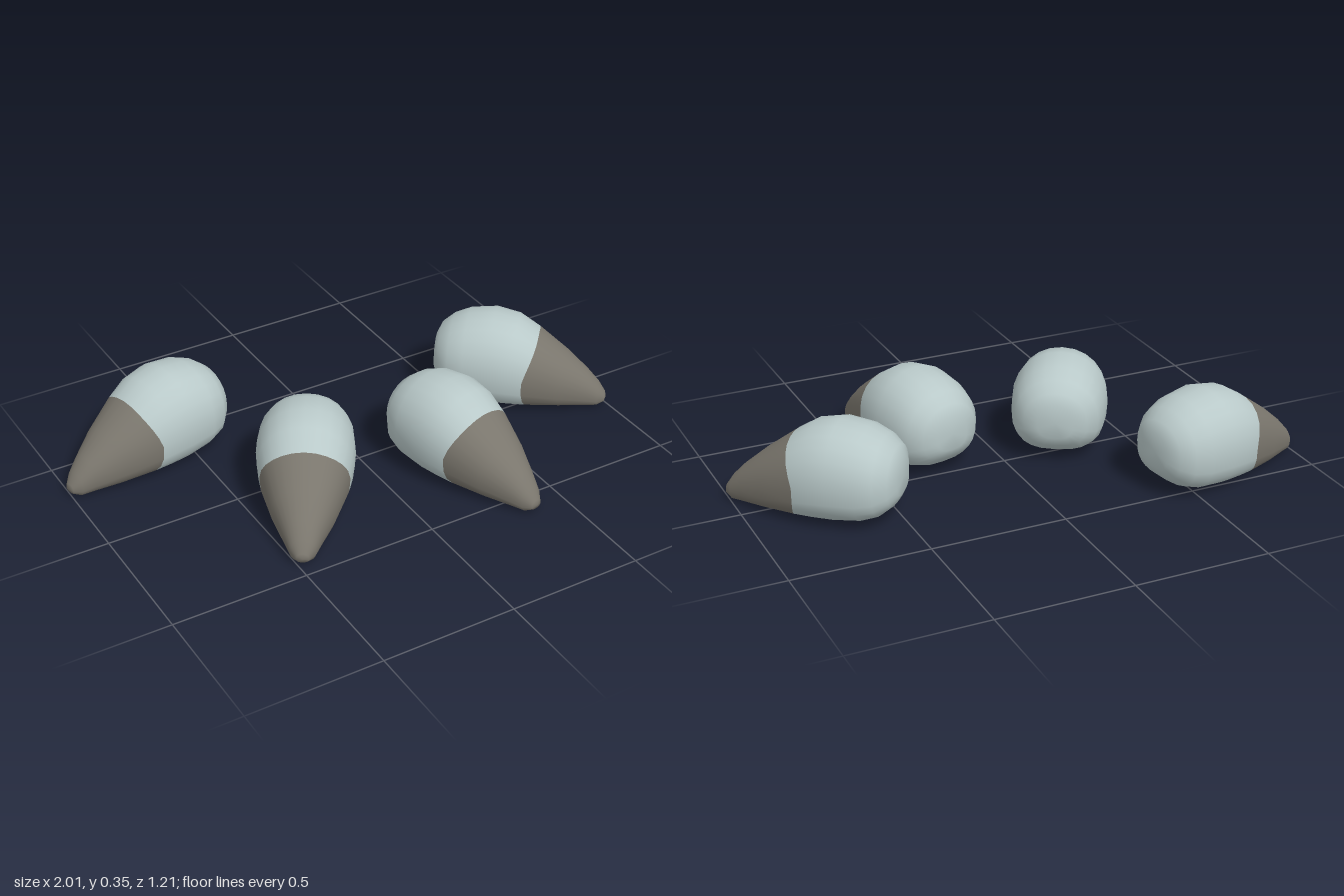
import * as THREE from 'three';

// Cross-sections from heel to tip: distance along, half width, top, bottom
const SECTIONS = [
  [0, 0.065, 0.235, 0.105], [0.018, 0.115, 0.275, 0.07], [0.06, 0.152, 0.31, 0.035],
  [0.12, 0.17, 0.338, 0.014], [0.22, 0.177, 0.353, 0.004], [0.31, 0.168, 0.335, 0.001],
  [0.39, 0.147, 0.285, 0], [0.5, 0.105, 0.205, 0], [0.58, 0.066, 0.137, 0],
  [0.625, 0.045, 0.09, 0], [0.652, 0.022, 0.05, 0.015],
];
const TIP_START = 6; // section where the dark tip begins
const SIDES = 24;

// Blend a section measurement at distance s
function profile(s, k) {
  let i = 0;
  while (i < SECTIONS.length - 2 && s > SECTIONS[i + 1][0]) i++;
  const a = SECTIONS[i], b = SECTIONS[i + 1];
  return THREE.MathUtils.lerp(a[k], b[k], (s - a[0]) / (b[0] - a[0]));
}

function clawGeometry() {
  const positions = [], light = [], dark = [];
  SECTIONS.forEach(([s0], i) => {
    for (let j = 0; j < SIDES; j++) {
      const t = (j / SIDES) * Math.PI * 2, c = Math.cos(t), n = Math.sin(t);
      // the colour edge sweeps back along the lower flanks
      const sweep = Math.max(0, 1 - Math.abs(i - TIP_START) / 2) * 0.045;
      const s = s0 - sweep * Math.abs(c) * (n < 0 ? 1 : 1 - n);
      const w = profile(s, 1), top = profile(s, 2), bottom = profile(s, 3);
      const mid = bottom + (top - bottom) * 0.46;
      const p = n < 0 ? 2 / 2.7 : 2 / 2.1; // fuller, flatter underside
      const x = w * Math.sign(c) * Math.abs(c) ** p;
      const y = mid + (n < 0 ? mid - bottom : top - mid) * Math.sign(n) * Math.abs(n) ** p;
      positions.push(x, y, s);
    }
  });
  const last = SECTIONS.length - 1;
  const heel = positions.length / 3, tip = heel + 1;
  positions.push(0, 0.17, -0.004, 0, 0.032, 0.657);
  for (let j = 0; j < SIDES; j++) {
    const k = (j + 1) % SIDES;
    light.push(heel, k, j);
    for (let i = 0; i < last; i++) {
      const a = i * SIDES + j, b = i * SIDES + k, c = b + SIDES, d = a + SIDES;
      (i < TIP_START ? light : dark).push(a, b, c, a, c, d);
    }
    dark.push(tip, last * SIDES + j, last * SIDES + k);
  }
  const geometry = new THREE.BufferGeometry();
  geometry.setAttribute('position', new THREE.Float32BufferAttribute(positions, 3));
  geometry.setIndex([...light, ...dark]);
  geometry.addGroup(0, light.length, 0);
  geometry.addGroup(light.length, dark.length, 1);
  geometry.computeVertexNormals();
  return geometry;
}

export function createModel() {
  const group = new THREE.Group();
  group.name = 'claws';
  const paleGrey = new THREE.MeshStandardMaterial({ color: 0xb9c9c9 });
  paleGrey.name = 'pale blue grey';
  const darkGrey = new THREE.MeshStandardMaterial({ color: 0x7a766d });
  darkGrey.name = 'warm dark grey';
  const geometry = clawGeometry();

  // Heel and tip positions on the ground (x, z)
  const claws = [
    ['outerRightClaw', -0.365, -0.46, -0.985, -0.325],
    ['innerRightClaw', -0.15, -0.11, -0.49, 0.455],
    ['innerLeftClaw', 0.22, -0.035, 0.37, 0.605],
    ['outerLeftClaw', 0.505, -0.27, 0.985, 0.155],
  ];
  for (const [name, x, z, tipX, tipZ] of claws) {
    const claw = new THREE.Mesh(geometry, [paleGrey, darkGrey]);
    claw.name = name;
    claw.position.set(x, 0, z);
    claw.rotation.y = Math.atan2(tipX - x, tipZ - z);
    group.add(claw);
  }
  return group;
}
